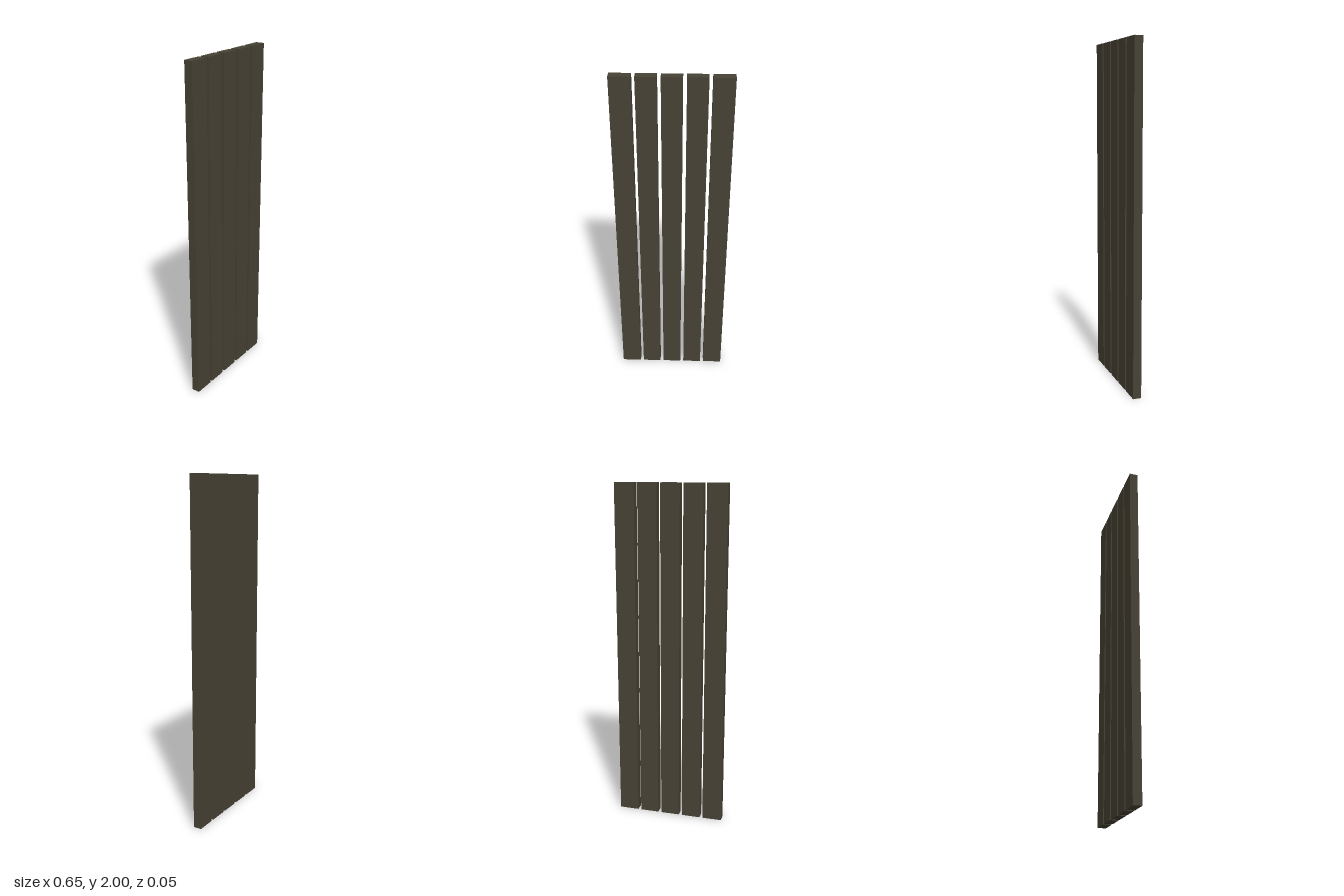
import * as THREE from 'three';

export function createModel() {
  const group = new THREE.Group();
  group.name = 'plankPanel';

  const darkWood = new THREE.MeshStandardMaterial({ color: 0x484235 });
  darkWood.name = 'darkWood';

  const height = 2, depth = 0.049;

  // Five upright planks with narrow gaps; the outer two are slightly wider
  const planks = [
    { x: -0.265, width: 0.116 },
    { x: -0.132, width: 0.112 },
    { x: 0, width: 0.112 },
    { x: 0.132, width: 0.112 },
    { x: 0.265, width: 0.116 },
  ];

  planks.forEach(({ x, width }, i) => {
    const plank = new THREE.Mesh(new THREE.BoxGeometry(width, height, depth), darkWood);
    plank.name = `plank${i + 1}`;
    plank.position.set(x, height / 2, 0);
    group.add(plank);
  });

  return group;
}
